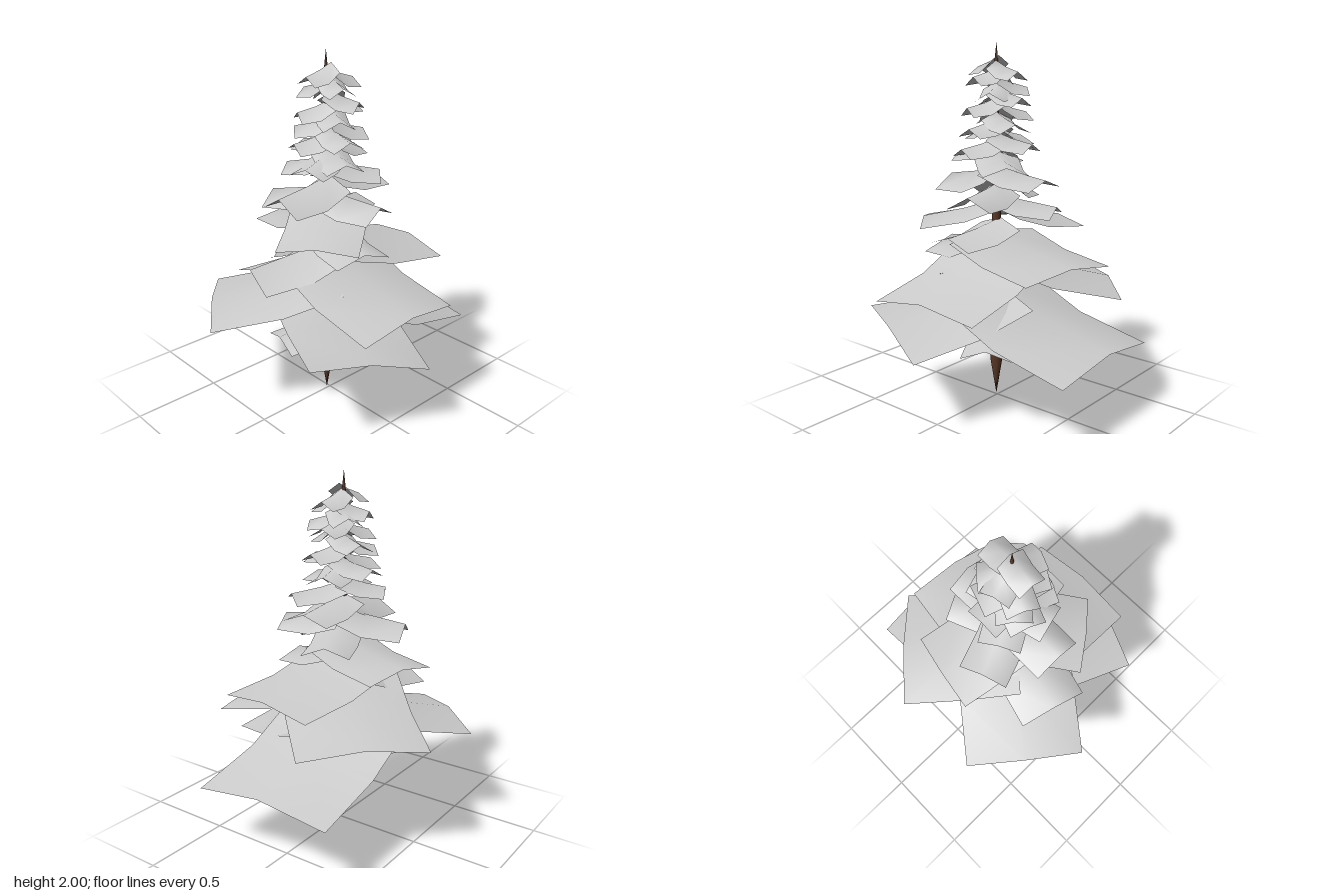
import * as THREE from 'three';

const foliage = new THREE.MeshStandardMaterial({ color: 0xcccccc, side: THREE.DoubleSide });
const bark = new THREE.MeshStandardMaterial({ color: 0x5a3826 });

// Lower boughs: [azimuth from +x toward +z (deg), reach, width,
// ridge height at trunk, ridge height at tip, optional side drop, optional roll]
const lowerBoughs = [
  [-29, 0.34, 0.28, 0.50, 0.39],
  [105, 0.32, 0.30, 0.52, 0.42],
  [-91, 0.74, 0.81, 0.69, 0.43, 0.06],
  [23, 0.65, 0.66, 0.64, 0.52, 0.04, 0.12],
  [128, 0.67, 0.67, 0.80, 0.62, 0.04],
  [-136, 0.64, 0.68, 0.90, 0.70, 0.04],
  [-1, 0.62, 0.67, 0.92, 0.70],
  [105, 0.48, 0.39, 0.98, 0.87, 0.08],
  [-81, 0.57, 0.61, 0.98, 0.87, 0.04],
  [10, 0.34, 0.33, 1.05, 0.98],
  [-169, 0.46, 0.46, 1.12, 1.02, 0.04],
  [52, 0.41, 0.43, 1.17, 1.06, 0.03],
  [-111, 0.34, 0.26, 1.20, 1.13],
  [-12, 0.33, 0.26, 1.25, 1.21, 0.07],
  [160, 0.36, 0.27, 1.29, 1.20, 0.07],
  [91, 0.35, 0.28, 1.34, 1.27, 0.08],
  [-90, 0.33, 0.28, 1.35, 1.29],
];

// Upper boughs are evenly spaced in height and shrink upward; only azimuths vary
const upperAzimuths = [
  -50, 150, 75, 20, -100, 180, 110, 10, -70, 130,
  -160, 25, 115, -90, -25, -140, 165, 15, -85, 95,
];

// A square sheet folded softly along its ridge, steep near the trunk and flatter at the tip
function makeBough(azimuth, reach, width, yRoot, yTip, drop = 0.05, roll = 0) {
  const geo = new THREE.PlaneGeometry(1, 1, 2, 2);
  geo.rotateX(-Math.PI / 2);
  const pos = geo.attributes.position;
  const back = -0.07 * reach;
  for (let i = 0; i < pos.count; i++) {
    const t = pos.getX(i) + 0.5;
    const side = pos.getZ(i) * 2;
    const edge = Math.abs(side);
    const middle = t === 0.5;
    const along = middle ? 0.45 : t;
    const fall = middle ? 0.56 : t;
    const sag = middle ? drop * 1.35 : drop;
    pos.setXYZ(
      i,
      back + (reach - back) * along - 0.02 * reach * edge * t,
      yRoot + (yTip - yRoot) * fall - sag * edge + roll * 0.5 * side * t,
      side * width / 2
    );
  }
  geo.computeVertexNormals();
  const mesh = new THREE.Mesh(geo, foliage);
  mesh.name = 'bough';
  mesh.rotation.y = -THREE.MathUtils.degToRad(azimuth);
  return mesh;
}

export function createModel() {
  const tree = new THREE.Group();
  tree.name = 'coniferTree';

  // Trunk, pointed at both ends
  const profile = [[0, 0], [0.034, 0.21], [0.033, 0.5], [0.023, 1.2], [0.01, 1.9], [0, 2]]
    .map(([r, y]) => new THREE.Vector2(r, y));
  const trunk = new THREE.Mesh(new THREE.LatheGeometry(profile, 8), bark);
  trunk.name = 'trunk';
  trunk.position.set(-0.01, 0, 0.015);
  tree.add(trunk);

  // Wide lower boughs
  const lowerCrown = new THREE.Group();
  lowerCrown.name = 'lowerCrown';
  lowerBoughs.forEach((spec) => lowerCrown.add(makeBough(...spec)));
  tree.add(lowerCrown);

  // Small upper boughs
  const upperCrown = new THREE.Group();
  upperCrown.name = 'upperCrown';
  upperAzimuths.forEach((azimuth, i) => {
    const t = i / (upperAzimuths.length - 1);
    const reach = 0.27 - 0.12 * Math.sqrt(t);
    const yTip = 1.36 + 0.51 * t;
    upperCrown.add(makeBough(azimuth, reach, 0.8 * reach + 0.03, yTip + 0.06, yTip, 0.045));
  });
  tree.add(upperCrown);
  return tree;
}
